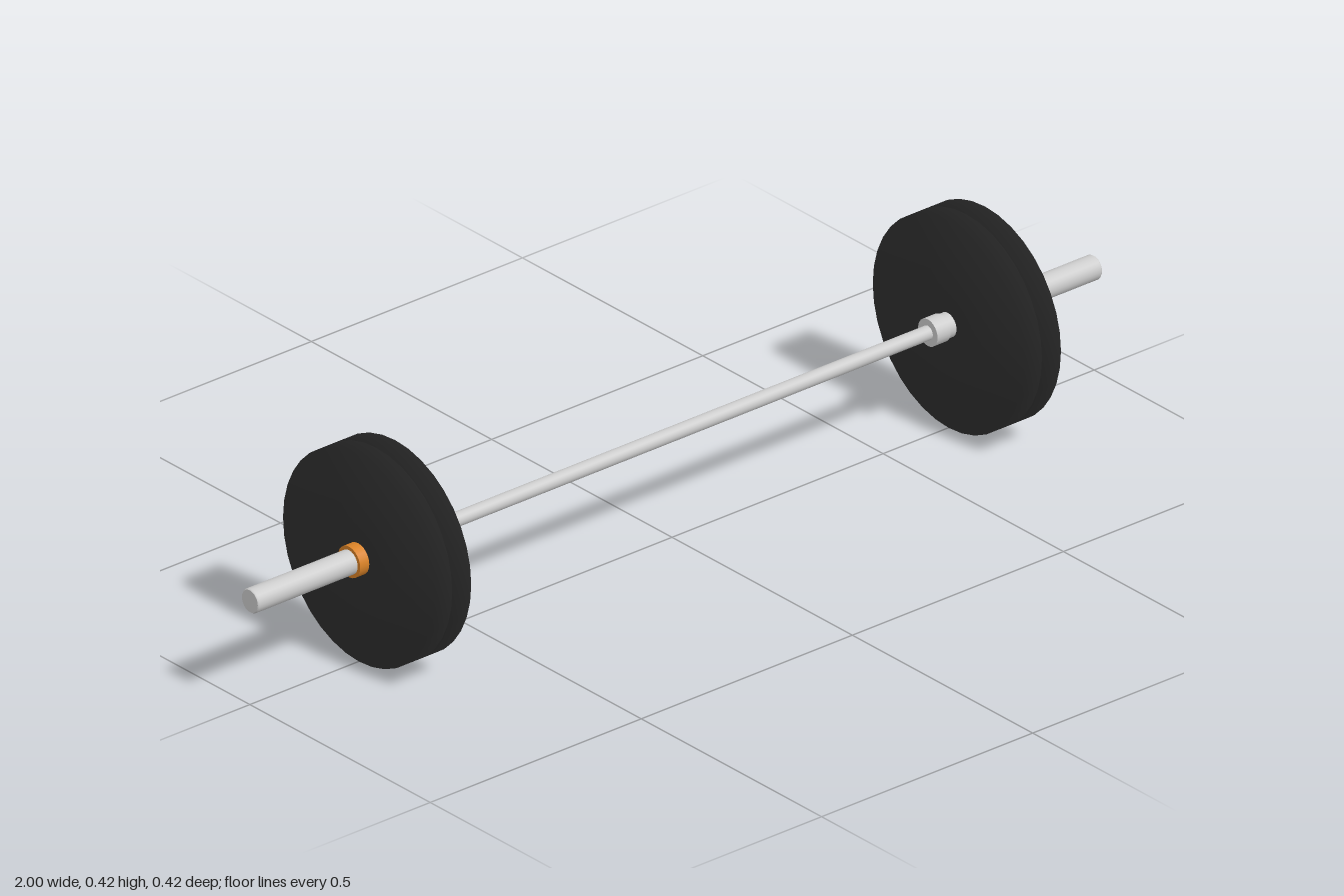
import * as THREE from 'three';

const AXIS_Y = 0.21;
const steel = new THREE.MeshStandardMaterial({ color: 0xcccccc });
const rubber = new THREE.MeshStandardMaterial({ color: 0x2e2e2e });
const orange = new THREE.MeshStandardMaterial({ color: 0xd98227 });

// Turned part along x, from [radius, x] points with x increasing
function turned(name, profile, material, sides) {
  const points = profile.map(([r, x]) => new THREE.Vector2(r, x));
  const geometry = new THREE.LatheGeometry(points, sides).rotateZ(-Math.PI / 2);
  const mesh = new THREE.Mesh(geometry, material);
  mesh.name = name;
  return mesh;
}

// Plain rod between two x positions
function rod(name, radius, x0, x1, material) {
  const geometry = new THREE.CylinderGeometry(radius, radius, x1 - x0, 24).rotateZ(-Math.PI / 2);
  const mesh = new THREE.Mesh(geometry, material);
  mesh.name = name;
  mesh.position.x = (x0 + x1) / 2;
  return mesh;
}

// Weight plate with a slightly raised hub
function plate(name, x) {
  const hub = 0.0225, half = 0.021, r = 0.21;
  const mesh = turned(name, [
    [0.024, -hub], [0.04, -hub], [0.042, -half], [r, -half],
    [r, half], [0.042, half], [0.04, hub], [0.024, hub],
  ], rubber, 36);
  mesh.position.x = x;
  return mesh;
}

// Everything loaded on one end of the bar
function makeEnd(name) {
  const end = new THREE.Group();
  end.name = name;
  end.add(
    turned('sleeve', [[0, 0.63], [0.024, 0.63], [0.024, 0.63], [0.024, 0.997], [0.022, 1], [0.022, 1], [0, 1]], steel, 24),
    rod('shoulder', 0.027, 0.606, 0.637, steel),
    plate('innerPlate', 0.676),
    plate('outerPlate', 0.721),
    rod('clampCollar', 0.031, 0.742, 0.765, orange),
  );
  return end;
}

export function createModel() {
  const model = new THREE.Group();
  model.name = 'barbell';

  // Grip bar
  model.add(rod('bar', 0.014, -0.63, 0.63, steel));

  // Loaded ends
  const left = makeEnd('leftEnd');
  const right = makeEnd('rightEnd');
  right.rotation.y = Math.PI;
  model.add(left, right);

  for (const part of model.children) part.position.y = AXIS_Y;
  return model;
}
